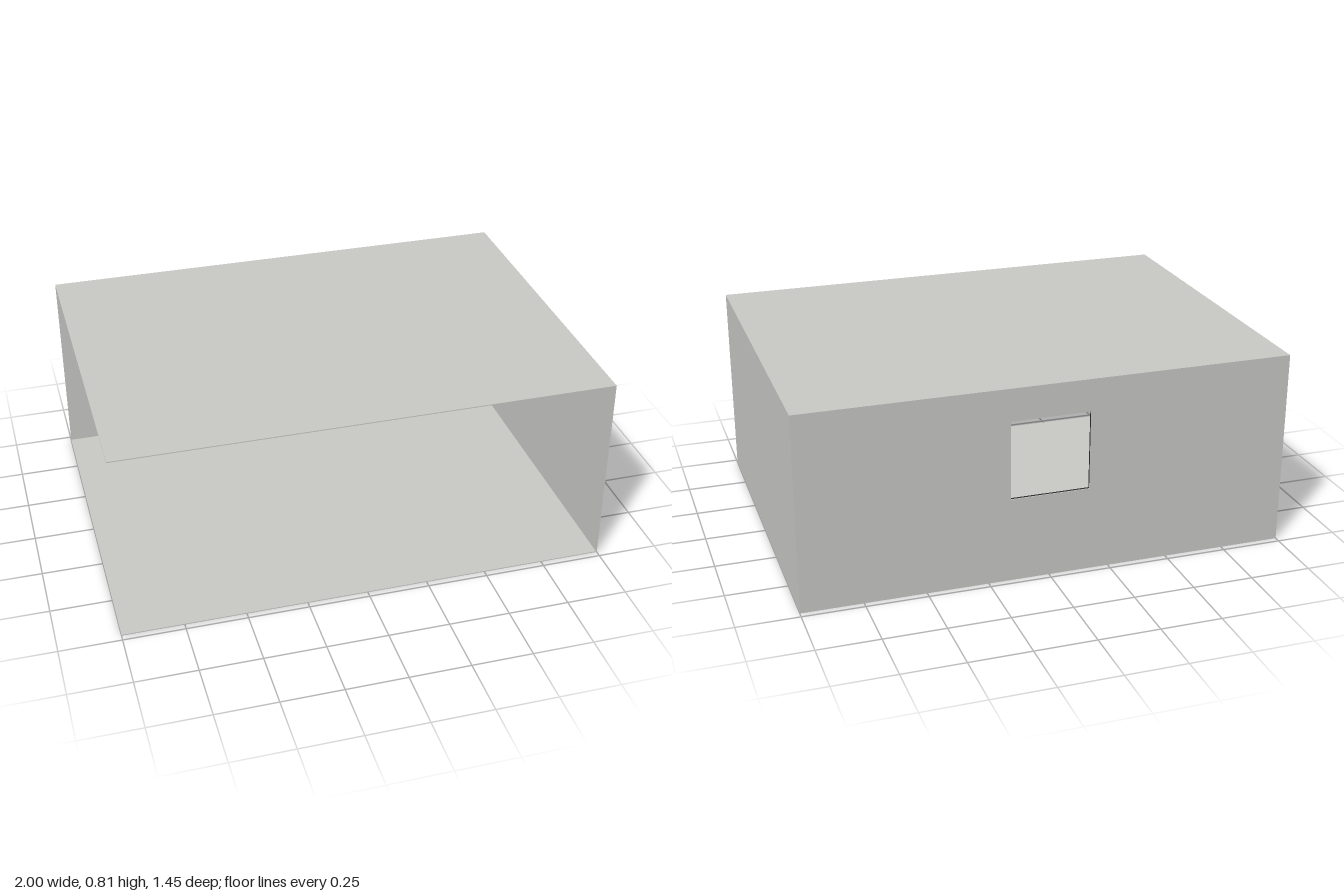
import * as THREE from 'three';

const W = 2, H = 0.81, D = 1.448, T = 0.004; // room size and panel thickness

// Rectangle outline with slightly rounded corners
function rect(Type, x0, x1, y0, y1, r = 0) {
  const s = new Type();
  if (r === 0) {
    s.moveTo(x0, y0).lineTo(x1, y0).lineTo(x1, y1).lineTo(x0, y1).closePath();
    return s;
  }
  s.absarc(x1 - r, y0 + r, r, -Math.PI / 2, 0);
  s.absarc(x1 - r, y1 - r, r, 0, Math.PI / 2);
  s.absarc(x0 + r, y1 - r, r, Math.PI / 2, Math.PI);
  s.absarc(x0 + r, y0 + r, r, Math.PI, Math.PI * 1.5);
  s.closePath();
  return s;
}

export function createModel() {
  const room = new THREE.Group();
  room.name = 'room';

  const wallGrey = new THREE.MeshStandardMaterial({ color: 0xc9c9c6 });
  wallGrey.name = 'wallGrey';
  const frameBlack = new THREE.MeshStandardMaterial({ color: 0x2a2a2a });
  frameBlack.name = 'frameBlack';

  function add(name, geometry, material, x, y, z) {
    const mesh = new THREE.Mesh(geometry, material);
    mesh.name = name;
    mesh.position.set(x, y, z);
    room.add(mesh);
  }

  // Floor and ceiling
  const slab = new THREE.BoxGeometry(W, T, D);
  add('floor', slab, wallGrey, 0, T / 2, 0);
  add('ceiling', slab, wallGrey, 0, H - T / 2, 0);

  // Side wall; the opposite side and the front stay open
  add('sideWall', new THREE.BoxGeometry(T, H - 2 * T, D), wallGrey, W / 2 - T / 2, H / 2, 0);

  // Back wall with the window opening
  const opening = [-0.163, 0.161, 0.351, 0.676];
  const wall = rect(THREE.Shape, -W / 2, W / 2 - T, T, H - T);
  wall.holes.push(rect(THREE.Path, ...opening));
  add('backWall', new THREE.ExtrudeGeometry(wall, { depth: T, bevelEnabled: false }), wallGrey, 0, 0, -D / 2);

  // Window frame on the inner face of the back wall
  const frame = rect(THREE.Shape, -0.197, 0.189, 0.332, 0.704, 0.008);
  frame.holes.push(rect(THREE.Path, ...opening));
  add('windowFrame', new THREE.ExtrudeGeometry(frame, { depth: 0.009, bevelEnabled: false, curveSegments: 4 }),
    frameBlack, 0, 0, -D / 2 + T);

  return room;
}
